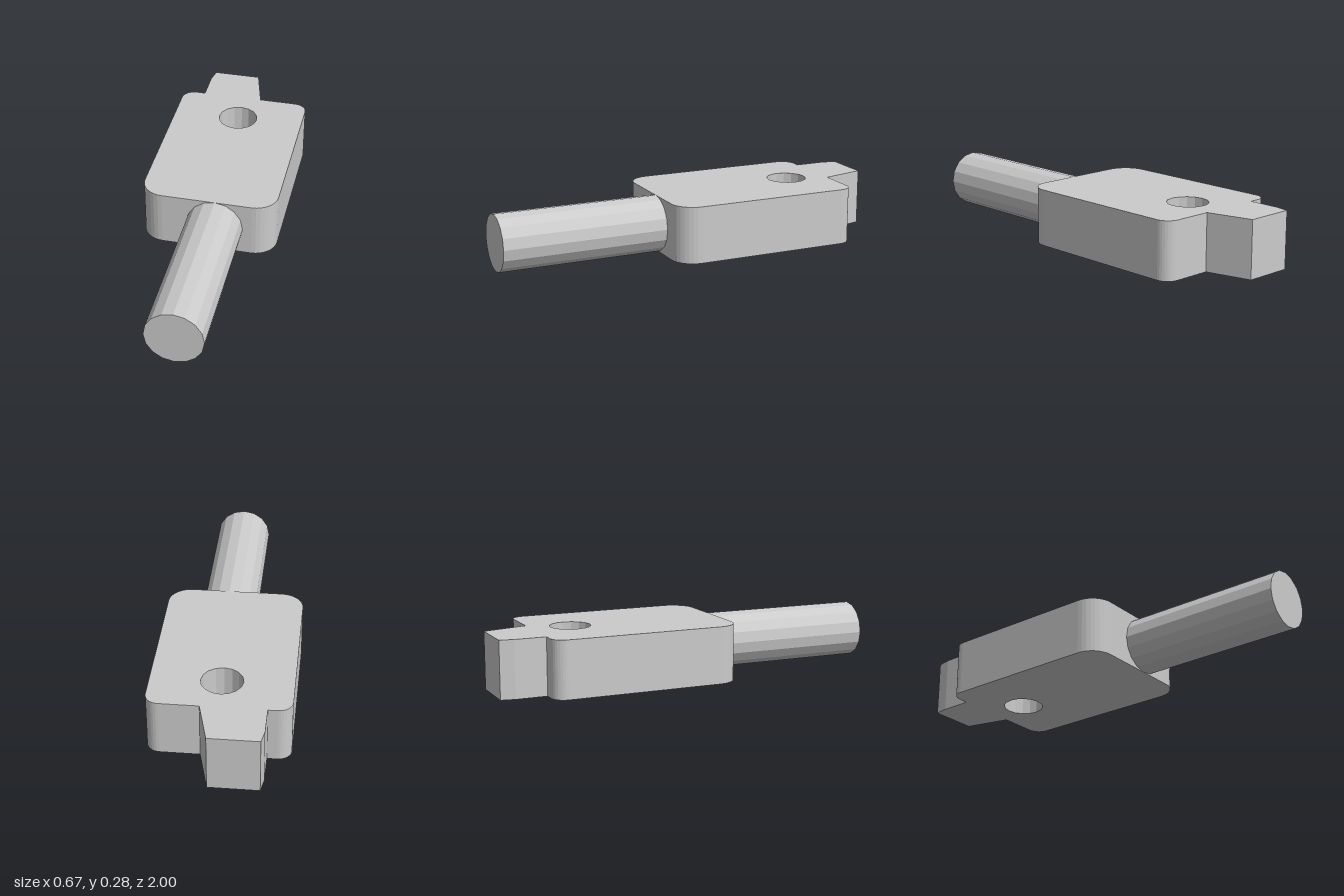
import * as THREE from 'three';

const HEIGHT = 0.281;

export function createModel() {
  const group = new THREE.Group();
  const material = new THREE.MeshStandardMaterial({ color: 0xcccccc, flatShading: true });
  const add = (name, geometry) => {
    const mesh = new THREE.Mesh(geometry, material);
    mesh.name = name;
    group.add(mesh);
    return mesh;
  };

  // Plate outline, drawn with shape y = -z: rounded corners and a skewed tab at the back
  const w = 0.337, front = -0.175, back = 0.777, rf = 0.112, rb = 0.065;
  const outline = new THREE.Shape();
  outline.moveTo(-w + rf, front);
  outline.lineTo(w - rf, front);
  outline.absarc(w - rf, front + rf, rf, -Math.PI / 2, 0);
  outline.lineTo(w, back - rb);
  outline.absarc(w - rb, back - rb, rb, 0, Math.PI / 2);
  outline.lineTo(0.083, back);
  outline.lineTo(0.028, 1);
  outline.lineTo(-0.212, 1);
  outline.lineTo(-0.225, 0.93);
  outline.lineTo(-0.225, back);
  outline.lineTo(-w + rb, back);
  outline.absarc(-w + rb, back - rb, rb, Math.PI / 2, Math.PI);
  outline.lineTo(-w, front + rf);
  outline.absarc(-w + rf, front + rf, rf, Math.PI, Math.PI * 1.5);

  // Sixteen-sided through hole
  const hole = [];
  for (let i = 0; i < 16; i++) {
    const a = -i * Math.PI / 8;
    hole.push(new THREE.Vector2(0.1 * Math.cos(a), 0.58 + 0.1 * Math.sin(a)));
  }
  outline.holes.push(new THREE.Path(hole));

  const plate = new THREE.ExtrudeGeometry(outline, { depth: HEIGHT, bevelEnabled: false, curveSegments: 4 });
  plate.rotateX(-Math.PI / 2);
  add('plate', plate);

  // Faceted rod running forward, slightly right of the plate's centre line
  const start = 0.17, end = 1;
  const rod = new THREE.CylinderGeometry(HEIGHT / 2, HEIGHT / 2, end - start, 16);
  rod.rotateX(Math.PI / 2);
  add('rod', rod).position.set(0.041, HEIGHT / 2, (start + end) / 2);

  return group;
}
